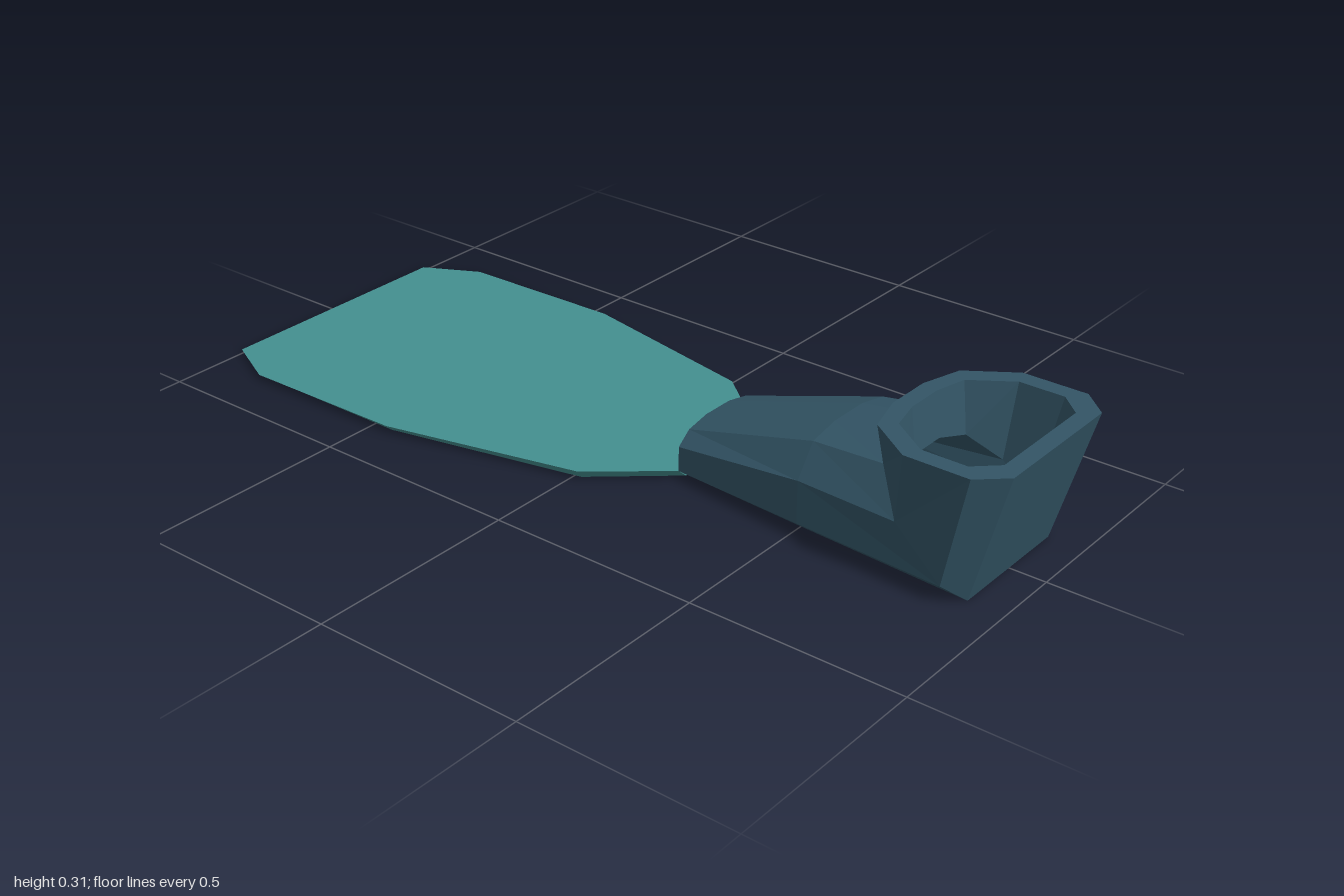
import * as THREE from 'three';

// Complete a half ring (+x side) with its mirror image
const mirror = half => [...half, ...half.slice().reverse().map(([x, y, z]) => [-x, y, z])];

// Skin a list of equal-sized rings and close both ends
function loft(rings, color, name) {
  const pos = [];
  const quad = (a, b, c, d) => pos.push(...a, ...b, ...c, ...a, ...c, ...d);
  const n = rings[0].length;
  for (let r = 0; r < rings.length - 1; r++) {
    const a = rings[r], b = rings[r + 1];
    for (let i = 0; i < n; i++) {
      const j = (i + 1) % n;
      quad(a[i], a[j], b[j], b[i]);
    }
  }
  // end caps made of strips between mirrored points
  const first = rings[0], last = rings[rings.length - 1];
  for (let i = 0; i < n / 2 - 1; i++) {
    const j = n - 1 - i;
    quad(first[j], first[j - 1], first[i + 1], first[i]);
    quad(last[i], last[i + 1], last[j - 1], last[j]);
  }
  const geo = new THREE.BufferGeometry();
  geo.setAttribute('position', new THREE.Float32BufferAttribute(pos, 3));
  geo.computeVertexNormals();
  const mesh = new THREE.Mesh(geo, new THREE.MeshStandardMaterial({ color, flatShading: true }));
  mesh.name = name;
  return mesh;
}

// Upright cross-section at one z, points running from sole to instep
const section = (z, pts) => mirror(pts.map(([x, y]) => [x, y, z]));
// Level ring at one y
const level = (y, pts) => mirror(pts.map(([x, z]) => [x, y, z]));

export function createModel() {
  const group = new THREE.Group();
  group.name = 'swimFin';

  // Hollow foot pocket: toe to heel bend, up to the collar, then back inside
  const pocket = [
    section(0.185, [[0.105, 0], [0.135, 0.022], [0.135, 0.08], [0.1, 0.108], [0.04, 0.12]]),
    section(0.52, [[0.13, 0], [0.175, 0.036], [0.175, 0.135], [0.125, 0.205], [0.05, 0.22]]),
    mirror([[0.155, 0, 0.915], [0.205, 0.043, 0.88], [0.205, 0.147, 0.77], [0.145, 0.225, 0.70], [0.055, 0.242, 0.68]]),
    level(0.308, [[0.167, 1], [0.222, 0.94], [0.222, 0.79], [0.15, 0.685], [0.055, 0.658]]),
    level(0.308, [[0.135, 0.96], [0.182, 0.91], [0.182, 0.805], [0.12, 0.715], [0.045, 0.697]]),
    mirror([[0.125, 0.035, 0.89], [0.168, 0.065, 0.86], [0.168, 0.13, 0.79], [0.115, 0.19, 0.73], [0.045, 0.205, 0.71]]),
    section(0.52, [[0.105, 0.03], [0.14, 0.055], [0.14, 0.12], [0.1, 0.17], [0.04, 0.185]]),
    section(0.23, [[0.08, 0.025], [0.105, 0.04], [0.105, 0.07], [0.075, 0.09], [0.03, 0.097]]),
  ];
  group.add(loft(pocket, 0x335566, 'footPocket'));

  // Thin blade with undercut edges, tapering toward the tip
  const thickness = z => 0.022 - 0.012 * Math.max(0, -z);
  const outline = [[0.135, 0.185], [0.272, 0.02], [0.375, -0.45], [0.375, -0.865], [0.308, -1]];
  const under = [[0.11, 0.185], [0.255, 0.015], [0.358, -0.45], [0.358, -0.86], [0.3, -0.99]];
  const blade = [
    level(0, under),
    mirror(outline.map(([x, z]) => [x, thickness(z), z])),
  ];
  group.add(loft(blade, 0x449090, 'blade'));

  return group;
}
